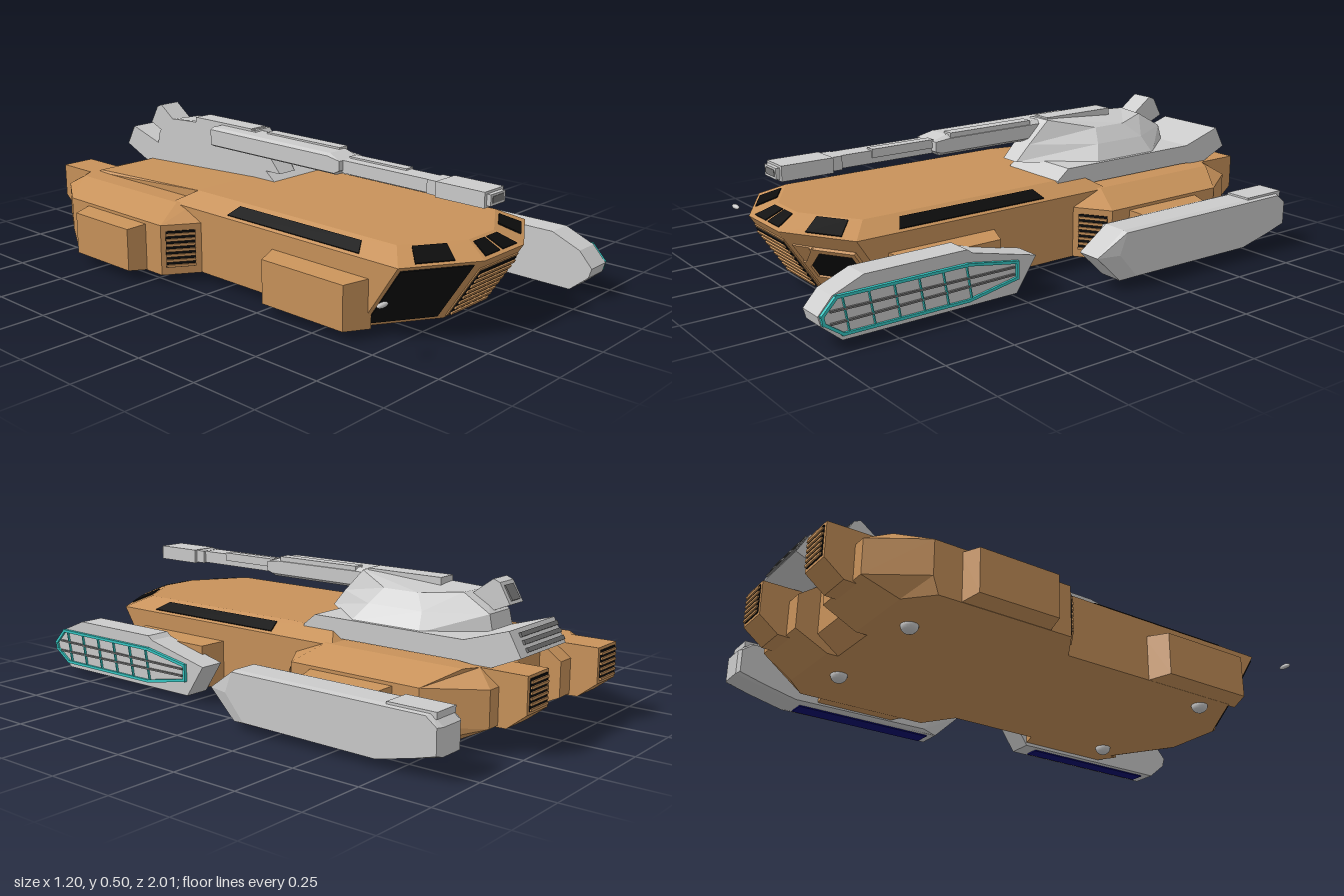
import * as THREE from 'three';

const mat = (color) => new THREE.MeshStandardMaterial({ color, flatShading: true });
const TAN = mat(0xc8925a), GREY = mat(0xcccccc), DARK = mat(0x0c0c0c), TEAL = mat(0x35c8c4), BLUE = mat(0x0a0a70), SHADE = mat(0x777777);

function add(parent, name, geo, material, x = 0, y = 0, z = 0) {
  const m = new THREE.Mesh(geo, material);
  m.name = name;
  m.position.set(x, y, z);
  parent.add(m);
  return m;
}

// Box given by its min and max on each axis
const box = (parent, name, material, x0, x1, y0, y1, z0, z1) =>
  add(parent, name, new THREE.BoxGeometry(x1 - x0, y1 - y0, z1 - z0), material, (x0 + x1) / 2, (y0 + y1) / 2, (z0 + z1) / 2);

// Solid from stacked outlines. axis 'y': points are (x, z, optional y); axis 'x': points are (z, y)
function loft(axis, layers) {
  const n = layers[0][1].length, pos = [];
  const rings = layers.map(([t, pts]) => pts.map(([u, v, w]) =>
    axis === 'y' ? new THREE.Vector3(u, w ?? t, v) : new THREE.Vector3(t, v, u)));
  const tris = [];
  for (let k = 0; k + 1 < rings.length; k++)
    for (let i = 0; i < n; i++) {
      const j = (i + 1) % n, [a, b, c, d] = [rings[k][i], rings[k][j], rings[k + 1][j], rings[k + 1][i]];
      tris.push([a, b, c], [a, c, d]);
    }
  for (const k of [0, rings.length - 1]) {
    const outline = layers[k][1].map(([u, v]) => new THREE.Vector2(u, v));
    const ccw = THREE.ShapeUtils.area(outline) > 0;
    for (const f of THREE.ShapeUtils.triangulateShape(outline, [])) {
      const [a, b, c] = f.map((i) => rings[k][i]);
      const up = new THREE.Vector2().subVectors(outline[f[1]], outline[f[0]]).cross(new THREE.Vector2().subVectors(outline[f[2]], outline[f[0]])) > 0;
      // side walls run along the outline, so the first cap runs against it
      tris.push((up === ccw) === (k > 0) ? [a, b, c] : [a, c, b]);
    }
  }
  // Turn all faces outward by the sign of the volume
  let vol = 0;
  for (const [a, b, c] of tris) vol += a.dot(b.clone().cross(c));
  for (const [a, b, c] of tris) for (const p of vol > 0 ? [a, b, c] : [a, c, b]) pos.push(p.x, p.y, p.z);
  const g = new THREE.BufferGeometry();
  g.setAttribute('position', new THREE.Float32BufferAttribute(pos, 3));
  g.computeVertexNormals();
  return g;
}

// A face is four corners seen from outside: bottom left, bottom right, top right, top left
const face = (...c) => c.map((p) => new THREE.Vector3(...p));
const flip = (q) => [1, 0, 3, 2].map((i) => new THREE.Vector3(-q[i].x, q[i].y, q[i].z));
const at = (q, u, v) => q[0].clone().lerp(q[1], u).lerp(q[3].clone().lerp(q[2], u), v);

// Thin panel lying on part of a face
function panel(parent, name, material, q, u0, u1, v0, v1, depth = 0.004) {
  const n = q[1].clone().sub(q[0]).cross(q[3].clone().sub(q[0])).normalize();
  const g = new THREE.BoxGeometry(1, 1, 1), p = g.attributes.position;
  for (let i = 0; i < p.count; i++) {
    const s = at(q, THREE.MathUtils.lerp(u0, u1, p.getX(i) + 0.5), THREE.MathUtils.lerp(v0, v1, p.getY(i) + 0.5));
    s.addScaledVector(n, p.getZ(i) > 0 ? depth : -0.004);
    p.setXYZ(i, s.x, s.y, s.z);
  }
  g.computeVertexNormals();
  return add(parent, name, g, material);
}

// Dark opening with raised slats
function grille(parent, name, q, u0, u1, v0, v1, count, material = TAN) {
  panel(parent, name + 'Opening', DARK, q, u0, u1, v0, v1);
  const h = (v1 - v0) / count;
  for (let i = 0; i < count; i++) panel(parent, name + 'Slat', material, q, u0, u1, v0 + (i + 0.1) * h, v0 + (i + 0.58) * h, 0.009);
}

// Mirrors half an outline, listed front to back, across x = 0
const both = (half) => [...half, ...half.map(([x, z, y]) => [-x, z, y]).reverse()];

function buildHull() {
  const hull = new THREE.Group();
  hull.name = 'hull';
  hull.position.x = -0.06;
  add(hull, 'frontHull', loft('y', [
    [0.03, both([[0.11, 0.77], [0.35, 0.62], [0.35, -0.28]])],
    [0.26, both([[0.11, 0.92], [0.35, 0.77], [0.35, -0.28]])],
    [0.3, both([[0.07, 0.83], [0.27, 0.7], [0.27, -0.22]])],
  ]), TAN);
  add(hull, 'rearHull', loft('y', [
    [0.03, both([[0.35, -0.12], [0.47, -0.2], [0.47, -0.7], [0.38, -0.78], [0.1, -0.78], [0.1, -0.74]])],
    [0.09, both([[0.35, -0.12], [0.47, -0.2], [0.47, -0.72], [0.35, -0.9], [0.1, -0.9], [0.1, -0.82]])],
    [0.215, both([[0.35, -0.12], [0.47, -0.2], [0.47, -0.72], [0.35, -0.9], [0.1, -0.9], [0.1, -0.82]])],
    [0.265, both([[0.3, -0.2], [0.35, -0.25], [0.35, -0.8], [0.3, -0.83], [0.1, -0.83], [0.1, -0.82]])],
  ]), TAN);
  add(hull, 'rearDeck', loft('y', [
    [0.26, both([[0.27, -0.2], [0.27, -0.82]])],
    [0.3, both([[0.27, -0.2], [0.26, -0.25, 0.275], [0.26, -0.81, 0.27]].filter((_, i) => i !== 1))],
  ]), TAN);

  // Nose faces: black bay, grille and lamp
  const nose = face([-0.11, 0.03, 0.77], [0.11, 0.03, 0.77], [0.11, 0.26, 0.92], [-0.11, 0.26, 0.92]);
  const leftNose = face([0.11, 0.03, 0.77], [0.35, 0.03, 0.62], [0.35, 0.26, 0.77], [0.11, 0.26, 0.92]);
  const rightNose = flip(leftNose);
  panel(hull, 'noseBay', DARK, rightNose, 0.05, 0.9, 0.06, 0.95);
  panel(hull, 'grilleFrame', TAN, nose, 0.01, 0.99, 0.05, 0.87);
  grille(hull, 'noseGrille', nose.map((p) => p.clone().add(new THREE.Vector3(0, -0.002, 0.004))), 0.05, 0.95, 0.08, 0.83, 8);
  panel(hull, 'lampBay', DARK, leftNose, 0.12, 0.86, 0.08, 0.78);
  for (const [u0, u1, v0, v1] of [[0.08, 0.86, 0.05, 0.1], [0.82, 0.88, 0.05, 0.8], [0.3, 0.88, 0.74, 0.8], [0.08, 0.14, 0.05, 0.55], [0.14, 0.42, 0.1, 0.3]])
    panel(hull, 'lampFrame', TAN, leftNose, u0, u1, v0, v1, 0.012);
  const corner = [at(leftNose, 0.08, 0.5), at(leftNose, 0.15, 0.48), at(leftNose, 0.4, 0.74), at(leftNose, 0.34, 0.81)];
  panel(hull, 'lampFrameCorner', TAN, corner, 0, 1, 0, 1, 0.012);
  panel(hull, 'lampCornerFill', TAN, [at(leftNose, 0.08, 0.54), at(leftNose, 0.12, 0.54), at(leftNose, 0.34, 0.8), at(leftNose, 0.08, 0.81)], 0, 1, 0, 1, 0.006);

  // Windows round the roof edge
  const brow = face([-0.11, 0.26, 0.92], [0.11, 0.26, 0.92], [0.07, 0.3, 0.83], [-0.07, 0.3, 0.83]);
  panel(hull, 'frontWindow', DARK, brow, 0.08, 0.46, 0.15, 0.85);
  panel(hull, 'frontWindow', DARK, brow, 0.54, 0.92, 0.15, 0.85);
  const cornerBrow = face([0.11, 0.26, 0.92], [0.35, 0.26, 0.77], [0.27, 0.3, 0.7], [0.07, 0.3, 0.83]);
  const sideBrow = face([0.35, 0.26, 0.77], [0.35, 0.26, -0.28], [0.27, 0.3, -0.22], [0.27, 0.3, 0.7]);
  const flare = face([0.35, 0.03, -0.12], [0.47, 0.03, -0.2], [0.47, 0.215, -0.2], [0.35, 0.215, -0.12]);
  const exhaust = face([0.3, 0.14, -1], [0.17, 0.14, -1], [0.17, 0.265, -1], [0.3, 0.265, -1]);
  for (const s of [1, -1]) {
    const side = (q) => (s > 0 ? q : flip(q));
    const u = (a, b) => (s > 0 ? [a, b] : [1 - b, 1 - a]);
    panel(hull, 'cornerWindow', DARK, side(cornerBrow), ...u(0.33, 0.8), 0.12, 0.88);
    panel(hull, 'sideWindow', DARK, side(sideBrow), ...u(0.15, 0.73), 0.15, 0.75);
    grille(hull, 'flareVent', side(flare), ...u(0.15, 0.88), 0.15, 0.88, 7);
    // Side blocks with tapered ends
    add(hull, 'frontSideBlock', loft('x', [
      [s * 0.34, [[0.23, 0.03], [0.66, 0.03], [0.66, 0.2], [0.23, 0.2]]],
      [s * 0.43, [[0.265, 0.035], [0.62, 0.035], [0.62, 0.19], [0.265, 0.19]]],
    ]), TAN);
    add(hull, 'rearSideBlock', loft('x', [
      [s * 0.46, [[-0.62, 0.03], [-0.28, 0.03], [-0.28, 0.205], [-0.62, 0.205]]],
      [s * 0.54, [[-0.6, 0.04], [-0.3, 0.04], [-0.3, 0.195], [-0.6, 0.195]]],
    ]), TAN);
    add(hull, 'exhaustBlock', loft('x', [0.17, 0.3].map((x) =>
      [s * x, [[-0.8, 0.08], [-0.93, 0.085], [-1, 0.14], [-1, 0.265], [-0.8, 0.265]]])), TAN);
    grille(hull, 'exhaust', side(exhaust), 0.1, 0.9, 0.08, 0.92, 6);
    // Rounded feet
    for (const [x, z] of [[0.28, 0.54], [0.24, -0.665]])
      add(hull, 'foot', new THREE.SphereGeometry(0.03, 16, 10), new THREE.MeshStandardMaterial({ color: 0xcccccc }), s * x, 0.028, z).scale.y = 0.9;
  }
  return hull;
}

function buildTurret() {
  const turret = new THREE.Group();
  turret.name = 'turret';
  add(turret, 'turretBase', loft('y', [
    [0.27, [[-0.06, -0.1], [0.225, -0.1], [0.225, -0.8], [-0.06, -0.8]]],
    [0.3, [[-0.06, -0.1], [0.225, -0.1], [0.225, -0.8], [-0.06, -0.8]]],
    [0.34, [[-0.06, -0.15], [0.225, -0.15], [0.225, -0.78], [-0.06, -0.78]]],
  ]), GREY);
  add(turret, 'turretTop', loft('y', [
    [0.335, [[-0.06, -0.07], [0.02, -0.07], [0.215, -0.3], [0.215, -0.58], [0.07, -0.77], [-0.06, -0.77]]],
    [0.395, [[-0.06, -0.125], [0.025, -0.125], [0.17, -0.34], [0.17, -0.56], [0.065, -0.755], [-0.06, -0.755]]],
    [0.46, [[-0.06, -0.2, 0.48], [0.03, -0.21, 0.478], [0.12, -0.37, 0.445], [0.12, -0.51, 0.445], [0.06, -0.65, 0.455], [-0.06, -0.667, 0.457]]],
  ]), GREY);
  box(turret, 'spine', GREY, -0.06, 0.015, 0.4, 0.484, -0.53, -0.22);
  // Raised vent and hatch at the back
  const bustle = [[-0.74, 0.335], [-0.92, 0.39], [-0.965, 0.31], [-0.85, 0.26], [-0.74, 0.27]];
  add(turret, 'bustle', loft('x', [-0.06, 0.225].map((x) => [x, bustle])), GREY);
  const back = face([0.225, 0.31, -0.965], [-0.06, 0.31, -0.965], [-0.06, 0.39, -0.92], [0.225, 0.39, -0.92]);
  for (let i = 0; i < 3; i++) panel(turret, 'bustleSlot', SHADE, back, 0.16, 0.98, 0.12 + i * 0.28, 0.28 + i * 0.28, 0.008);
  add(turret, 'sightBox', loft('x', [-0.06, 0.025].map((x) => [x, [[-0.65, 0.44], [-0.74, 0.505], [-0.765, 0.495], [-0.805, 0.425], [-0.72, 0.39]]])), GREY);
  panel(turret, 'sightLens', SHADE, face([0.015, 0.43, -0.805], [-0.05, 0.43, -0.805], [-0.05, 0.49, -0.768], [0.015, 0.49, -0.768]), 0.1, 0.9, 0.1, 0.9);

  // Gun
  add(turret, 'gunHousing', loft('x', [[-0.12, 0.008], [-0.105, 0], [-0.02, 0], [0, 0.012]].map(([x, d]) =>
    [x, [[-0.38, 0.4 + d], [0.25, 0.4 + d], [0.275, 0.42], [0.275, 0.455], [0.22, 0.473 - d], [-0.38, 0.475 - d]]])), GREY);
  box(turret, 'gunRail', GREY, -0.045, -0.002, 0.44, 0.48, -0.15, 0.21);
  box(turret, 'barrel', GREY, -0.1, -0.03, 0.41, 0.455, 0.27, 0.66);
  box(turret, 'barrelRail', GREY, -0.06, -0.023, 0.43, 0.461, 0.27, 0.52);
  box(turret, 'muzzle', GREY, -0.112, -0.008, 0.405, 0.458, 0.68, 0.87);
  box(turret, 'muzzleCollar', GREY, -0.105, -0.02, 0.408, 0.456, 0.64, 0.7);
  box(turret, 'muzzleRim', GREY, -0.1, -0.02, 0.412, 0.45, 0.86, 0.885);
  box(turret, 'muzzleBore', SHADE, -0.09, -0.03, 0.42, 0.443, 0.88, 0.887);
  return turret;
}

function buildPods() {
  const pods = new THREE.Group();
  pods.name = 'pods';
  // Rear pod
  const outer = [[-0.1, 0.2], [-0.87, 0.2], [-0.91, 0.17], [-0.91, 0.085], [-0.82, 0.06], [-0.69, 0.03], [-0.15, 0.035], [-0.07, 0.125]];
  const inner = [[-0.1, 0.205], [-0.88, 0.205], [-0.92, 0.17], [-0.92, 0.08], [-0.82, 0.055], [-0.69, 0.025], [-0.09, 0.025], [0.015, 0.125]];
  add(pods, 'rearPod', loft('x', [[0.47, outer], [0.485, inner], [0.575, inner], [0.595, outer]]), GREY);
  box(pods, 'rearPodPanel', BLUE, 0.5, 0.565, 0.02, 0.03, -0.66, -0.12);
  box(pods, 'rearPodCap', GREY, 0.48, 0.58, 0.19, 0.212, -0.9, -0.72);

  // Front pod
  const shell = [[1, 0.115], [0.95, 0.17], [0.84, 0.215], [0.46, 0.215], [0.44, 0.2], [0.18, 0.14], [0.26, 0.022], [0.92, 0.022], [0.99, 0.08]];
  add(pods, 'frontPod', loft('x', [[0.358, shell], [0.452, shell]]), GREY);
  box(pods, 'frontPodPanel', BLUE, 0.38, 0.435, 0.017, 0.025, 0.32, 0.88);
  const rim = [[0.99, 0.115], [0.94, 0.167], [0.46, 0.167], [0.265, 0.135], [0.265, 0.08], [0.46, 0.045], [0.92, 0.045], [0.985, 0.09]];
  add(pods, 'podScreen', loft('x', [[0.45, rim], [0.457, rim]]), GREY);
  const bar = (name, material, [z0, y0], [z1, y1], w) => {
    const m = add(pods, name, new THREE.BoxGeometry(0.012, w, Math.hypot(z1 - z0, y1 - y0) + w), material, 0.459, (y0 + y1) / 2, (z0 + z1) / 2);
    m.rotation.x = -Math.atan2(y1 - y0, z1 - z0);
  };
  rim.forEach((p, i) => bar('screenRim', TEAL, p, rim[(i + 1) % rim.length], 0.01));
  for (const y of [0.085, 0.125]) bar('screenBar', SHADE, [0.96, y], [0.28, y + (y > 0.1 ? -0.005 : 0.01)], 0.006);
  for (let i = 0; i < 6; i++) bar('screenPost', TEAL, [0.9 - i * 0.09, 0.05], [0.92 - i * 0.09, 0.165], 0.004);
  return pods;
}

export function createModel() {
  const model = new THREE.Group();
  model.name = 'hoverTank';
  model.add(buildHull(), buildTurret(), buildPods());
  // Small loose lamp lens beside the nose
  add(model, 'lampLens', new THREE.SphereGeometry(0.025, 16, 10), new THREE.MeshStandardMaterial({ color: 0xcccccc }), -0.53, 0.188, 0.81).scale.set(1, 0.35, 0.4);
  return model;
}
